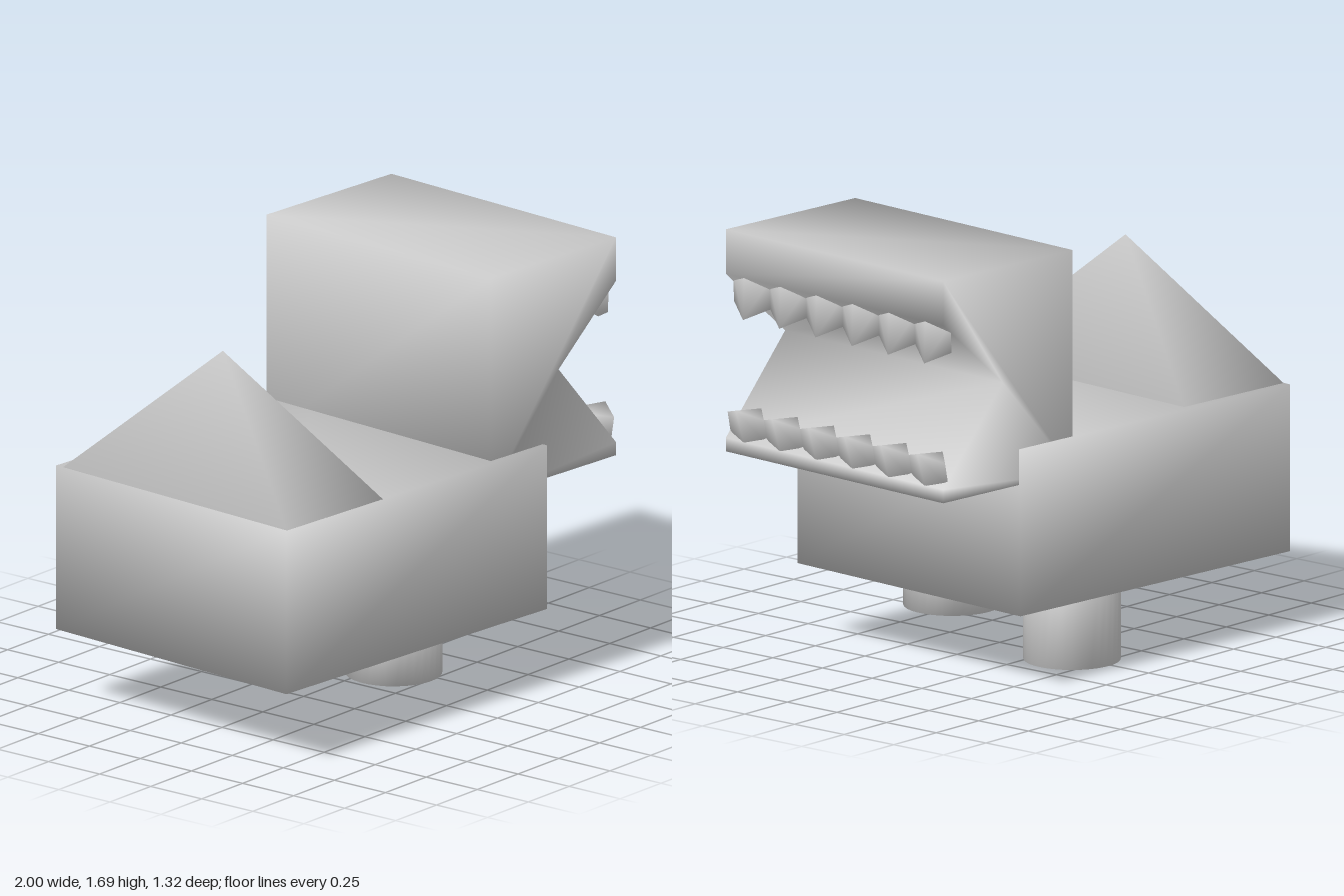
import * as THREE from 'three';
import { mergeVertices } from 'three/addons/utils/BufferGeometryUtils.js';
import { ConvexGeometry } from 'three/addons/geometries/ConvexGeometry.js';

const material = new THREE.MeshStandardMaterial({ color: 0xcccccc });

// Weld corners so that shading flows over the edges
function smooth(geometry) {
  geometry.deleteAttribute('uv');
  geometry.deleteAttribute('normal');
  const welded = mergeVertices(geometry, 1e-4);
  welded.computeVertexNormals();
  return welded;
}

function part(name, geometry, x = 0, y = 0, z = 0) {
  const mesh = new THREE.Mesh(smooth(geometry), material);
  mesh.name = name;
  mesh.position.set(x, y, z);
  return mesh;
}

// Diamond-shaped tooth; base and tip are [front, side, back] points as [x, y]
function toothGeometry(base, tip, halfWidth) {
  const points = [];
  for (const [front, side, back] of [base, tip]) {
    points.push(
      new THREE.Vector3(...front, 0),
      new THREE.Vector3(...side, halfWidth),
      new THREE.Vector3(...side, -halfWidth),
      new THREE.Vector3(...back, 0)
    );
  }
  return new ConvexGeometry(points);
}

export function createModel() {
  const model = new THREE.Group();
  model.name = 'toothyCreature';
  model.rotation.y = -0.075;

  // Body block
  model.add(part('body', new THREE.BoxGeometry(1.464, 0.657, 1.203), -0.227, 0.627, -0.013));

  // Four-sided pyramid tail
  const tail = new THREE.ConeGeometry(Math.SQRT1_2, 1, 4);
  tail.rotateY(Math.PI / 4);
  tail.scale(0.54, 0.532, 1.17);
  model.add(part('tail', tail, -0.687, 1.221, 0.004));

  // Head with a wedge-shaped mouth
  const front = 0.916, depth = 1.173, headZ = -0.02;
  const profile = new THREE.Shape([
    [0.214, 0.815], [front, 0.815], [front, 0.868], [0.594, 1.235],
    [front, 1.515], [front, 1.69], [0.214, 1.69],
  ].map(([x, y]) => new THREE.Vector2(x, y)));
  const head = new THREE.ExtrudeGeometry(profile, { depth, bevelEnabled: false });
  model.add(part('head', head, 0, 0, headZ - depth / 2));

  // Two rows of six teeth
  const count = 6, pitch = depth / count;
  const rows = {
    upperTooth: [
      [[0, 1.515], [-0.04, 1.51], [-0.09, 1.47]],
      [[0.005, 1.35], [-0.045, 1.4], [-0.1, 1.425]],
    ],
    lowerTooth: [
      [[0.002, 0.868], [-0.03, 0.87], [-0.07, 0.93]],
      [[0.045, 1.0], [-0.01, 0.97], [-0.095, 0.985]],
    ],
  };
  for (const [name, [base, tip]] of Object.entries(rows)) {
    for (let i = 0; i < count; i++) {
      const z = headZ + (i - (count - 1) / 2) * pitch;
      model.add(part(name, toothGeometry(base, tip, pitch / 2), front, 0, z));
    }
  }

  // Round legs, one shorter than the other
  for (const [name, bottom, z] of [['leftLeg', 0.1, 0.272], ['rightLeg', 0, -0.375]]) {
    const height = 0.32 - bottom;
    const leg = new THREE.CylinderGeometry(0.187, 0.187, height, 32);
    model.add(part(name, leg, -0.016, bottom + height / 2, z));
  }

  const root = new THREE.Group();
  root.add(model);
  return root;
}
